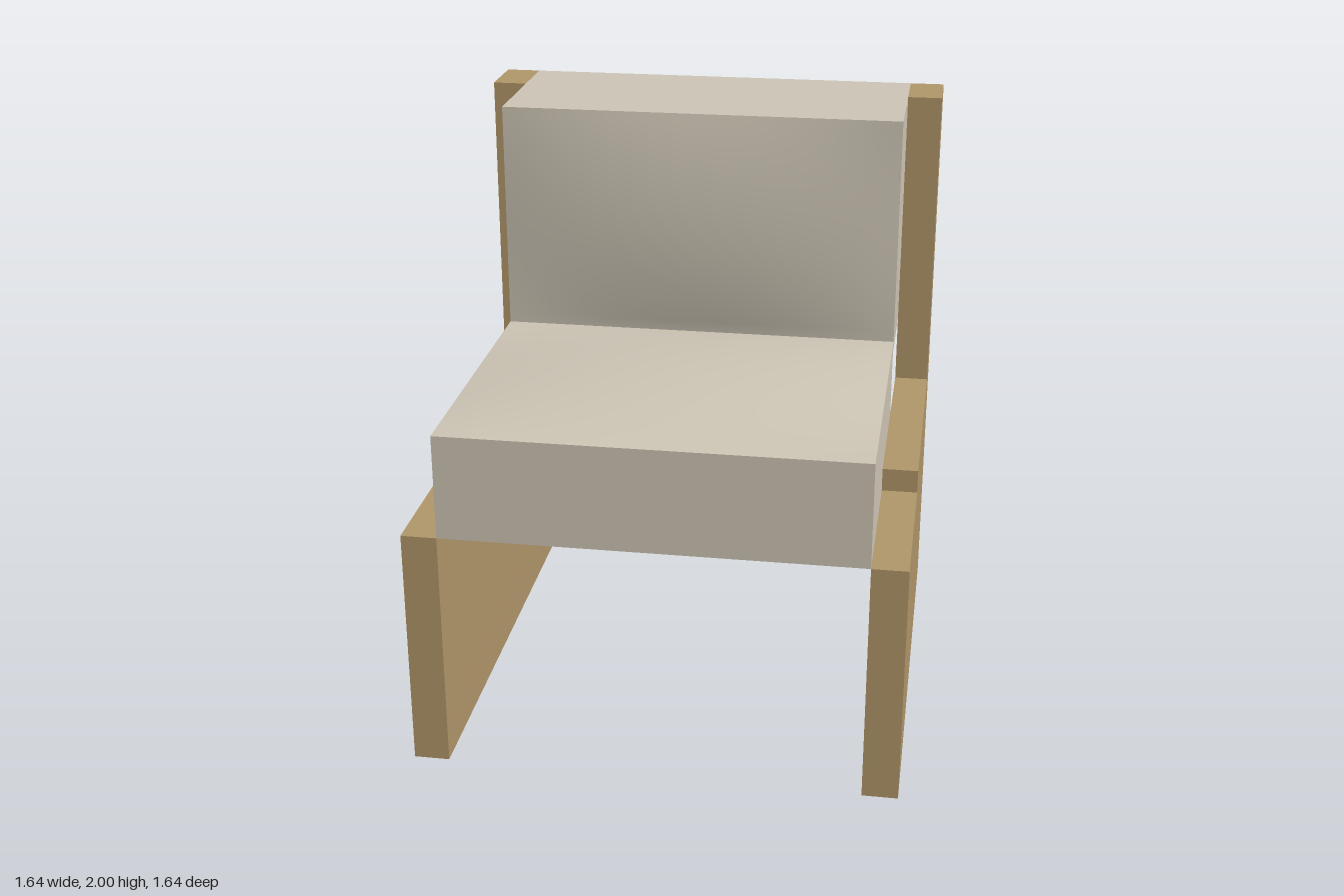
import * as THREE from 'three';

const wood = new THREE.MeshStandardMaterial({ color: 0xb0966a });
const fabric = new THREE.MeshStandardMaterial({ color: 0xcdc5b5 });

function addMesh(group, name, geometry, material) {
  const mesh = new THREE.Mesh(geometry, material);
  mesh.name = name;
  group.add(mesh);
  return mesh;
}

// Block whose +z face swells into a shallow dome; the lowest "flat" strip stays plain
function cushionGeometry(width, height, depth, bulge, flat = 0) {
  const geo = new THREE.BoxGeometry(width, height, depth, 20, 21, 1);
  const pos = geo.attributes.position;
  for (let i = 0; i < pos.count; i++) {
    if (pos.getZ(i) < 0) continue;
    const u = pos.getX(i) / (width / 2);
    const v = (pos.getY(i) - flat / 2) / ((height - flat) / 2);
    const lift = bulge * Math.max(0, 1 - u * u) * Math.max(0, 1 - v * v);
    pos.setZ(i, pos.getZ(i) + lift);
  }
  geo.computeVertexNormals();
  return geo;
}

export function createModel() {
  const chair = new THREE.Group();
  chair.name = 'chair';

  // Side panels: stepped armrest edge rising into the back post
  const profile = new THREE.Shape([
    [-0.82, 0], [0.82, 0], [0.82, 2], [0.6, 2], [0.6, 0.92],
    [-0.24, 0.92], [-0.24, 0.84], [-0.82, 0.84],
  ].map(([x, y]) => new THREE.Vector2(x, y)));
  const panelGeo = new THREE.ExtrudeGeometry(profile, { depth: 0.12, bevelEnabled: false });
  panelGeo.rotateY(Math.PI / 2); // profile x becomes -z, thickness becomes +x
  for (const [name, x] of [['leftSidePanel', 0.7], ['rightSidePanel', -0.82]]) {
    addMesh(chair, name, panelGeo, wood).position.x = x;
  }

  // Rear cross rails
  for (const [name, y] of [['lowerRail', 0.24], ['upperRail', 0.64]]) {
    addMesh(chair, name, new THREE.BoxGeometry(1.4, 0.08, 0.08), wood).position.set(0, y, -0.78);
  }

  // Seat cushion, dome turned upwards
  const seatGeo = cushionGeometry(1.4, 1.06, 0.36, 0.047).rotateX(-Math.PI / 2);
  addMesh(chair, 'seatCushion', seatGeo, fabric).position.set(0, 1.02, 0.29);

  // Back cushion, dome facing forwards
  const backGeo = cushionGeometry(1.4, 0.84, 0.58, 0.04, 0.04);
  addMesh(chair, 'backCushion', backGeo, fabric).position.set(0, 1.58, -0.53);

  return chair;
}
